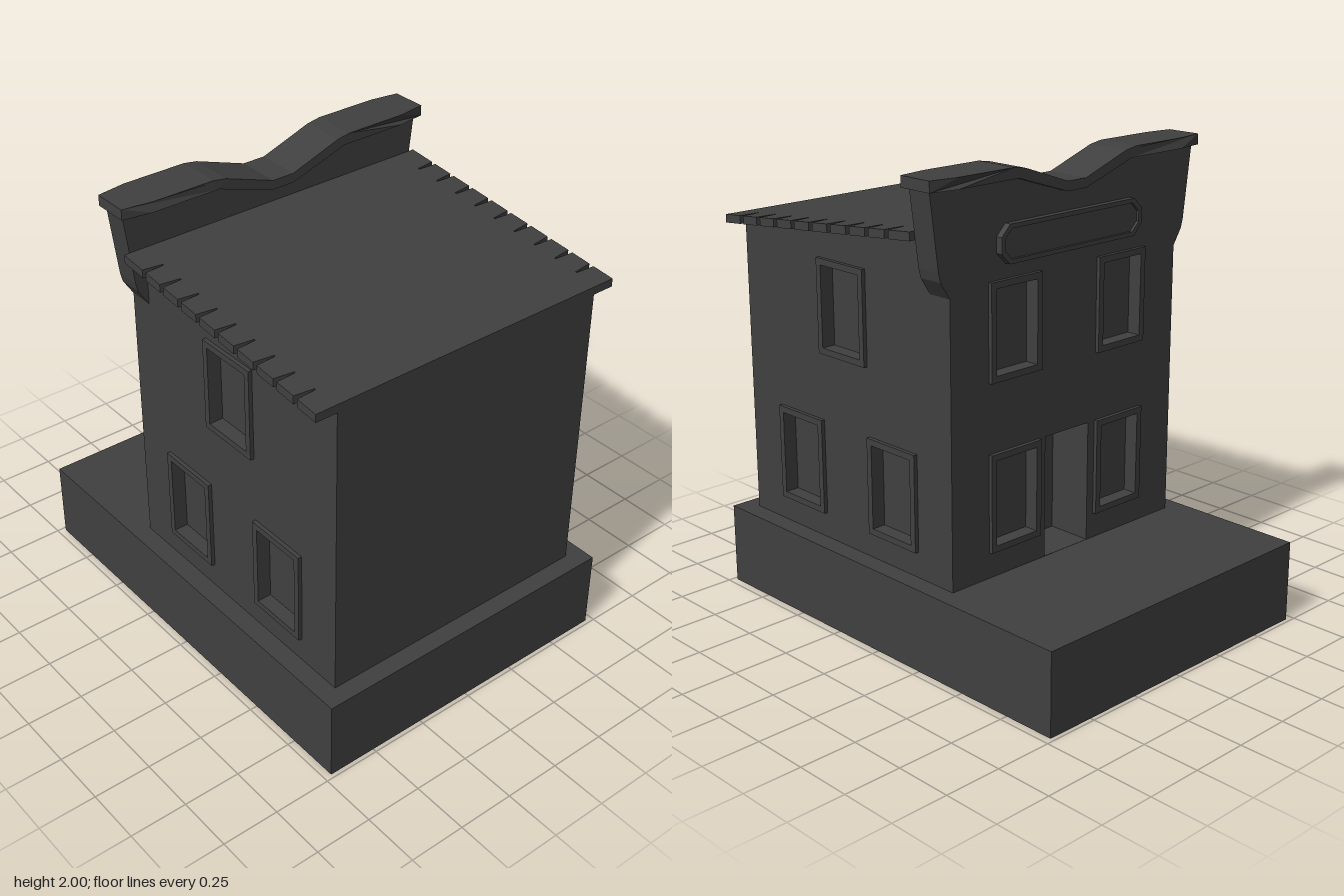
import * as THREE from 'three';

const FLOOR = 0.355, HALF_Z = 0.635, FRONT_X = -0.365, BACK_X = 0.903, PARAPET_BACK = -0.255;
const roofTop = (x) => 1.768 - 0.0954 * x;
const ROOF_THICK = 0.035;

const stone = new THREE.MeshStandardMaterial({ color: 0x404040 });
stone.name = 'dark stone';

function mesh(geometry, name, parent) {
  const m = new THREE.Mesh(geometry, stone);
  m.name = name;
  parent.add(m);
  return m;
}

const polygon = (points) => new THREE.Shape(points.map(([x, y]) => new THREE.Vector2(x, y)));
const rectPoints = (cx, y0, w, h) => [[cx - w / 2, y0], [cx + w / 2, y0], [cx + w / 2, y0 + h], [cx - w / 2, y0 + h]];
const extrude = (shape, depth) => new THREE.ExtrudeGeometry(shape, { depth, bevelEnabled: false });

// Extrudes a (z, y) outline towards -x, starting at x = back
const extrudeAcross = (shape, back, depth) => extrude(shape, depth).rotateY(-Math.PI / 2).translate(back, 0, 0);

// Mirrors a half outline (right half, bottom to top) to a closed one
const mirrored = (half) => [...half, ...half.map(([x, y]) => [-x, y]).reverse()];

// Window openings: [centre, bottom, width, height] of the surround
const BORDER = 0.027;
const sideWindows = [[0.269, 1.17, 0.287, 0.4], [-0.022, 0.465, 0.287, 0.413], [0.556, 0.465, 0.287, 0.413]];
const facadeWindows = [];
for (const z of [-0.3, 0.3]) facadeWindows.push([z, 1.17, 0.275, 0.4], [z, 0.465, 0.275, 0.413]);

const opening = ([c, y, w, h]) => rectPoints(c, y + BORDER, w - 2 * BORDER, h - 2 * BORDER);

// Surround standing proud of the wall at z = 0, with a recessed pane
function makeWindow(spec) {
  const [c, y, w, h] = spec;
  const g = new THREE.Group();
  g.name = 'window';
  const ring = polygon(rectPoints(c, y, w, h));
  ring.holes.push(polygon(opening(spec)));
  mesh(extrude(ring, 0.017), 'windowSurround', g);
  mesh(new THREE.BoxGeometry(w, h, 0.008), 'windowPane', g).position.set(c, y + h / 2, -0.049);
  return g;
}

function makeSide() {
  const side = new THREE.Group();
  side.name = 'sideWall';
  const under = (x) => roofTop(x) - ROOF_THICK / 2;
  const wall = polygon([[PARAPET_BACK, FLOOR], [BACK_X, FLOOR], [BACK_X, under(BACK_X)], [PARAPET_BACK, under(PARAPET_BACK)]]);
  for (const w of sideWindows) wall.holes.push(polygon(opening(w)));
  mesh(extrude(wall, 0.06), 'wallPanel', side).position.z = -0.06;
  for (const w of sideWindows) side.add(makeWindow(w));
  return side;
}

// The far wall has the same windows at the same x, so its geometry is flipped in z
function flipZ(group) {
  group.traverse((o) => {
    o.position.z *= -1;
    if (!o.isMesh) return;
    const g = o.geometry.index ? o.geometry.toNonIndexed() : o.geometry;
    g.scale(1, 1, -1);
    const p = g.attributes.position;
    for (let i = 0; i < p.count; i += 3) {
      const a = new THREE.Vector3().fromBufferAttribute(p, i + 1);
      const b = new THREE.Vector3().fromBufferAttribute(p, i + 2);
      p.setXYZ(i + 1, b.x, b.y, b.z);
      p.setXYZ(i + 2, a.x, a.y, a.z);
    }
    g.computeVertexNormals();
    o.geometry = g;
  });
  return group;
}

function makeFacade() {
  const facade = new THREE.Group();
  facade.name = 'facade';
  // Wall and flared parapet in one outline, with a dip in the middle
  const wall = polygon(mirrored([
    [HALF_Z, FLOOR], [HALF_Z, 1.54], [0.68, 1.61], [0.69, 1.65], [0.73, 1.96],
    [0.31, 1.96], [0.27, 1.945], [0.05, 1.875],
  ]));
  for (const w of facadeWindows) wall.holes.push(polygon(opening(w)));
  const doorW = 0.25, doorH = 0.52;
  wall.holes.push(polygon(rectPoints(0, FLOOR + 0.001, doorW, doorH)));
  mesh(extrudeAcross(wall, PARAPET_BACK, PARAPET_BACK - FRONT_X), 'facadeWall', facade);

  // Deep doorway lining
  const lining = polygon(rectPoints(0, FLOOR - 0.02, doorW + 0.04, doorH + 0.04));
  lining.holes.push(polygon(rectPoints(0, FLOOR + 0.001, doorW, doorH)));
  mesh(extrudeAcross(lining, -0.16, 0.095), 'doorwayLining', facade);

  const windows = new THREE.Group();
  windows.name = 'facadeWindows';
  for (const w of facadeWindows) windows.add(makeWindow(w));
  windows.rotation.y = -Math.PI / 2;
  windows.position.x = FRONT_X;
  facade.add(windows);

  // Long sign board with clipped corners and a raised rim
  const board = (inset) => {
    const z = 0.395 - inset, y0 = 1.63 + inset, y1 = 1.785 - inset, c = 0.045 - inset * 0.4;
    return polygon(mirrored([[z - c, y0], [z, y0 + c], [z, y1 - c], [z - c, y1]]));
  };
  const rim = board(0);
  rim.holes.push(board(0.018));
  mesh(extrudeAcross(rim, FRONT_X, 0.028), 'signRim', facade);
  mesh(extrudeAcross(board(0.01), FRONT_X, 0.016), 'signPanel', facade);

  // Coping, narrowing towards both ends
  const coping = extrudeAcross(polygon(mirrored([
    [0.05, 1.87], [0.27, 1.94], [0.31, 1.955], [0.62, 1.955], [0.747, 1.955],
    [0.747, 2], [0.62, 2], [0.34, 2], [0.28, 1.99], [0.05, 1.91],
  ])), -0.21, 0.195);
  const p = coping.attributes.position, mid = -0.3075;
  for (let i = 0; i < p.count; i++) {
    if (Math.abs(p.getZ(i)) > 0.7) p.setX(i, mid + (p.getX(i) - mid) * 0.8);
  }
  coping.computeVertexNormals();
  mesh(coping, 'coping', facade);
  return facade;
}

// Sloping roof slab with thin notches along both eaves
function makeRoof() {
  const z = 0.732, inner = 0.645, x0 = PARAPET_BACK, x1 = 0.905;
  const eave = [[x0, z]];
  for (let i = 0; i < 9; i++) {
    const x = -0.122 + i * 0.1145;
    eave.push([x - 0.012, z], [x - 0.002, inner], [x + 0.004, inner], [x + 0.01, z]);
  }
  eave.push([x1, z]);
  const outline = [...eave, ...eave.map(([x, s]) => [x, -s]).reverse()];
  const geo = extrude(polygon(outline), ROOF_THICK).rotateX(Math.PI / 2);
  const p = geo.attributes.position;
  for (let i = 0; i < p.count; i++) p.setY(i, p.getY(i) + roofTop(p.getX(i)));
  geo.computeVertexNormals();
  return geo;
}

export function createModel() {
  const model = new THREE.Group();
  model.name = 'building';

  mesh(new THREE.BoxGeometry(1.965, FLOOR, 1.434), 'base', model).position.y = FLOOR / 2;

  // Solid core behind the window walls
  const coreX = -0.165, top = (x) => roofTop(x) - ROOF_THICK / 2;
  const core = polygon([[coreX, FLOOR], [BACK_X, FLOOR], [BACK_X, top(BACK_X)], [coreX, top(coreX)]]);
  mesh(extrude(core, 1.15), 'core', model).position.z = -0.575;

  const near = makeSide();
  near.position.z = HALF_Z;
  const far = makeSide();
  far.position.z = HALF_Z;
  model.add(near, flipZ(far));

  model.add(makeFacade());
  mesh(makeRoof(), 'roof', model);
  return model;
}
